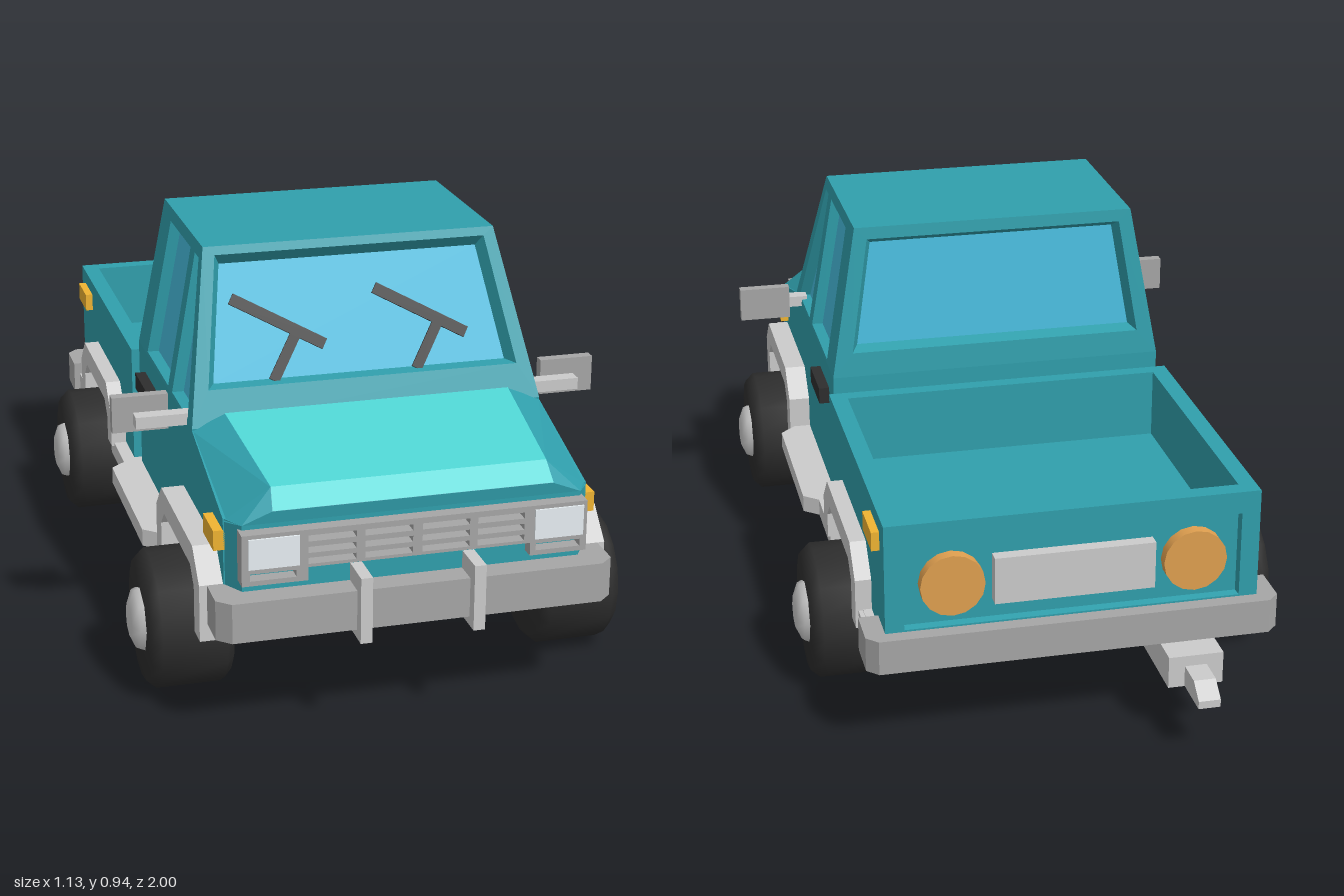
import * as THREE from 'three';
import { toCreasedNormals } from 'three/addons/utils/BufferGeometryUtils.js';
import { ConvexGeometry } from 'three/addons/geometries/ConvexGeometry.js';

const mat = (color) => new THREE.MeshStandardMaterial({ color });
const paint = mat(0x309fac), hoodPaint = mat(0x50d6d4), grey = mat(0xcccccc), darkGrey = mat(0xa6a6a6);
const glass = mat(0x48bcde), lens = mat(0xe8f0f4), black = mat(0x2e2e2e), amber = mat(0xf0b432), orange = mat(0xe0a050);
const V = (x, y, z) => new THREE.Vector3(x, y, z);

export function createModel() {
  const truck = new THREE.Group();
  truck.name = 'pickupTruck';

  const add = (name, geo, material, parent = truck) => {
    const mesh = new THREE.Mesh(geo, material);
    mesh.name = name;
    parent.add(mesh);
    return mesh;
  };
  // Box given by its lower and upper limits on each axis
  const box = (name, m, x0, x1, y0, y1, z0, z1) =>
    add(name, new THREE.BoxGeometry(x1 - x0, y1 - y0, z1 - z0)
      .translate((x0 + x1) / 2, (y0 + y1) / 2, (z0 + z1) / 2), m);
  const shapeOf = (pts) => new THREE.Shape(pts.map(([a, b]) => new THREE.Vector2(a, b)));
  const extrude = (shape, depth) => new THREE.ExtrudeGeometry(shape, { depth, bevelEnabled: false });
  // Side profile in (z, y), running from x0 to x1
  const sideSlab = (name, m, pts, x0, x1) =>
    add(name, extrude(shapeOf(pts), x1 - x0).rotateY(-Math.PI / 2).translate(x1, 0, 0), m);
  // Plan outline in (x, z), running from y0 to y1
  const planSlab = (name, m, pts, y0, y1) =>
    add(name, extrude(shapeOf(pts), y1 - y0).rotateX(Math.PI / 2).translate(0, y1, 0), m);
  const mirrored = (half) => [...half, ...half.map(([x, z]) => [-x, z]).reverse()];
  const hull = (name, m, half) =>
    add(name, new ConvexGeometry(half.flatMap(([x, y, z]) => [V(x, y, z), V(-x, y, z)])), m);
  const quads = (list) => {
    const pts = list.flatMap(([a, b, c, d]) => [a, b, c, a, c, d]);
    const geo = new THREE.BufferGeometry().setFromPoints(pts);
    geo.computeVertexNormals();
    return geo;
  };
  // Four-cornered frame with bevelled reveal around a recessed pane;
  // hole corners are fractions of the frame
  const panel = (name, corners, hole, depth, bevel, paneMat, flip = false) => {
    let outer = corners;
    let inner = hole.map(([u, v]) => outer[0].clone().lerp(outer[1], u)
      .lerp(outer[3].clone().lerp(outer[2], u), v));
    if (flip) {
      const mirror = (p) => V(-p.x, p.y, p.z);
      outer = outer.map(mirror).reverse();
      inner = inner.map(mirror).reverse();
    }
    const n = outer[1].clone().sub(outer[0]).cross(outer[3].clone().sub(outer[0])).normalize();
    const pane = inner.map((p, i) => {
      const toNext = inner[(i + 1) % 4].clone().sub(p).normalize();
      const toLast = inner[(i + 3) % 4].clone().sub(p).normalize();
      return p.clone().addScaledVector(toNext.add(toLast), bevel).addScaledVector(n, -depth);
    });
    const faces = [];
    for (let i = 0; i < 4; i++) {
      const j = (i + 1) % 4;
      faces.push([outer[i], outer[j], inner[j], inner[i]], [inner[i], inner[j], pane[j], pane[i]]);
    }
    add(name + 'Frame', quads(faces), paint);
    add(name + 'Pane', quads([pane]), paneMat);
  };

  // Lower cab with front wheel openings, then the chamfered nose
  sideSlab('cabBody', paint, [[-0.055, 0.255], [0.45, 0.255], [0.45, 0.315], [0.487, 0.352], [0.778, 0.352],
    [0.815, 0.315], [0.815, 0.26], [0.87, 0.26], [0.87, 0.485], [0.57, 0.57], [0.57, 0.575], [-0.055, 0.575]], -0.405, 0.405);
  hull('nose', paint, [[0.405, 0.26, 0.865], [0.405, 0.485, 0.865], [0.375, 0.26, 0.915], [0.375, 0.485, 0.915]]);

  // Bonnet with a lighter raised panel
  hull('bonnet', paint, [[0.405, 0.48, 0.87], [0.405, 0.57, 0.565], [0.375, 0.485, 0.915], [0.31, 0.512, 0.918],
    [0.305, 0.552, 0.882], [0.33, 0.602, 0.565], [0.33, 0.5, 0.565]]);
  const bonnetEdge = [[0.31, 0.514, 0.921], [0.305, 0.554, 0.885], [0.33, 0.604, 0.565]];
  const strip = bonnetEdge.map(([x, y, z]) => [V(-x, y, z), V(x, y, z)]);
  add('bonnetPanel', quads([0, 1].map((i) => [...strip[i], strip[i + 1][1], strip[i + 1][0]])), hoodPaint);

  // Upper cab: windscreen, rear window, two windows per side, roof
  const belt = 0.575, top = 0.94, bx = 0.405, tx = 0.34;
  panel('windscreen', [V(-bx, belt, 0.57), V(bx, belt, 0.57), V(tx, top, 0.405), V(-tx, top, 0.405)],
    [[0.041, 0.205], [0.959, 0.205], [0.959, 0.95], [0.041, 0.95]], 0.03, 0.016, glass);
  panel('rearWindow', [V(bx, belt, -0.055), V(-bx, belt, -0.055), V(-tx, top, -0.02), V(tx, top, -0.02)],
    [[0.05, 0.16], [0.95, 0.16], [0.95, 0.92], [0.05, 0.92]], 0.03, 0.014, glass);
  for (const flip of [false, true]) {
    panel('quarterWindow', [V(bx, belt, 0.57), V(bx, belt, 0.322), V(tx, top, 0.322), V(tx, top, 0.405)],
      [[0.2, 0.02], [0.907, 0.02], [0.76, 0.92], [0.34, 0.92]], 0.025, 0.007, glass, flip);
    panel('doorWindow', [V(bx, belt, 0.322), V(bx, belt, -0.055), V(tx, top, -0.02), V(tx, top, 0.322)],
      [[0.06, 0.02], [0.72, 0.02], [0.716, 0.92], [0.064, 0.92]], 0.025, 0.007, glass, flip);
  }
  add('roof', quads([[V(-tx, top, 0.405), V(tx, top, 0.405), V(tx, top, -0.02), V(-tx, top, -0.02)]]), paint);

  // Wipers lie in the plane of the windscreen
  const wipers = new THREE.Group();
  wipers.name = 'wipers';
  wipers.position.set(0, belt, 0.57);
  wipers.rotation.x = -Math.atan2(0.165, 0.365);
  truck.add(wipers);
  const rod = (name, x0, s0, x1, s1, w) => {
    const m = add(name, new THREE.BoxGeometry(Math.hypot(x1 - x0, s1 - s0), w, 0.005), black, wipers);
    m.position.set((x0 + x1) / 2, (s0 + s1) / 2, -0.02);
    m.rotation.z = Math.atan2(s1 - s0, x1 - x0);
  };
  for (const dx of [0, 0.333]) {
    rod('wiperBlade', -0.285 + dx, 0.283, -0.08 + dx, 0.165, 0.026);
    rod('wiperArm', -0.205 + dx, 0.092, -0.145 + dx, 0.192, 0.024);
  }

  // Load bed: solid base with wheel tunnel, walls and tailgate
  sideSlab('bedBase', paint, [[-0.82, 0.26], [-0.6, 0.26], [-0.6, 0.315], [-0.563, 0.352], [-0.282, 0.352],
    [-0.245, 0.315], [-0.245, 0.26], [-0.08, 0.26], [-0.08, 0.38], [-0.8, 0.38], [-0.8, 0.29], [-0.82, 0.29]], -0.42, 0.42);
  for (const x of [0.4, -0.4]) box('bedSide', paint, x - 0.02, x + 0.02, 0.38, 0.545, -0.8, -0.08);
  box('bedFrontWall', paint, -0.38, 0.38, 0.38, 0.545, -0.115, -0.08);
  box('tailgateInner', paint, -0.38, 0.38, 0.38, 0.545, -0.8, -0.78);
  panel('tailgate', [V(0.42, 0.26, -0.821), V(-0.42, 0.26, -0.821), V(-0.42, 0.545, -0.821), V(0.42, 0.545, -0.821)],
    [[0.05, 0.12], [0.95, 0.12], [0.95, 0.82], [0.05, 0.82]], 0.018, 0.003, paint);
  box('tailgateRim', paint, -0.42, 0.42, 0.5, 0.545, -0.82, -0.8);
  for (const x of [0.404, -0.404]) box('tailgatePost', paint, x - 0.016, x + 0.016, 0.26, 0.5, -0.82, -0.8);
  box('rearPlate', grey, -0.18, 0.18, 0.34, 0.45, -0.832, -0.8);

  // Chassis floors and bumpers
  planSlab('cabFloor', grey, mirrored([[0.44, 0.405], [0.485, 0.365], [0.485, -0.03], [0.45, -0.06], [0.45, -0.215]]), 0.243, 0.258);
  box('cabFloorRearRim', grey, -0.45, 0.45, 0.217, 0.258, -0.24, -0.215);
  planSlab('rearFloor', grey, mirrored([[0.44, -0.6], [0.44, -0.8]]), 0.217, 0.262);
  planSlab('rearBumper', darkGrey, mirrored([[0.42, -0.735], [0.465, -0.735], [0.465, -0.83], [0.44, -0.855]]), 0.21, 0.29);
  planSlab('frontBumper', darkGrey, mirrored([[0.44, 0.86], [0.44, 0.945], [0.41, 0.972]]), 0.245, 0.335);
  for (const x of [-0.127, 0.123]) box('bumperGuard', grey, x - 0.013, x + 0.013, 0.225, 0.375, 0.895, 1);

  // Grille with slots, and headlights
  const grille = shapeOf([[-0.383, 0.36], [-0.24, 0.36], [-0.24, 0.39], [0.252, 0.39], [0.252, 0.36],
    [0.38, 0.36], [0.38, 0.475], [-0.383, 0.475]]);
  const slot = (x0, x1, y0, y1) => grille.holes.push(new THREE.Path(
    [[x0, y0], [x0, y1], [x1, y1], [x1, y0]].map(([a, b]) => new THREE.Vector2(a, b))));
  for (const x of [-0.24, -0.116, 0.01, 0.133])
    for (const y of [0.397, 0.422, 0.448]) slot(x, x + 0.105, y, y + 0.014);
  for (const x of [-0.365, 0.265]) {
    slot(x, x + 0.1, 0.371, 0.387);
    box('headlight', lens, x - 0.004, x + 0.106, 0.398, 0.466, 0.93, 0.95);
  }
  add('grille', extrude(grille, 0.04).translate(0, 0, 0.906), darkGrey);

  // Wheel arches, one outline for front and rear; the front one lines the whole wheel well
  const arch = (z0, z1, lowFront, lowBack) => [[z0, lowFront], [z0, 0.335], [z0 - 0.065, 0.4], [z1 + 0.065, 0.4],
    [z1, 0.335], [z1, lowBack], [z1 + 0.055, lowBack], [z1 + 0.055, 0.31], [z1 + 0.092, 0.347],
    [z0 - 0.092, 0.347], [z0 - 0.055, 0.31], [z0 - 0.055, lowFront]];
  sideSlab('frontArch', grey, arch(0.865, 0.4, 0.205, 0.215), -0.457, 0.457);

  const tyre = toCreasedNormals(new THREE.LatheGeometry([[0, 0.357], [0.138, 0.357], [0.157, 0.375], [0.157, 0.52],
    [0.138, 0.541], [0, 0.541]].map(([r, h]) => new THREE.Vector2(r, h)), 16).rotateZ(-Math.PI / 2), 0.9);
  const hub = toCreasedNormals(new THREE.LatheGeometry([[0.078, 0.535], [0.07, 0.553], [0.038, 0.567],
    [0, 0.567]].map(([r, h]) => new THREE.Vector2(r, h)), 8).rotateZ(-Math.PI / 2), 0.9);

  for (const s of [1, -1]) {
    const side = s > 0 ? 'Left' : 'Right';
    const sBox = (name, m, x0, x1, ...rest) =>
      box(name + side, m, Math.min(s * x0, s * x1), Math.max(s * x0, s * x1), ...rest);
    sideSlab('rearArch' + side, grey, arch(-0.195, -0.65, 0.25, 0.217), s > 0 ? 0.4 : -0.457, s > 0 ? 0.457 : -0.4);
    sBox('rearSill', grey, 0.4, 0.45, 0.217, 0.26, -0.74, -0.62);

    // Sill hanging below the floor edge, bowed outwards along the cab
    planSlab('sill' + side, grey, [[0.44, 0.405], [0.485, 0.365], [0.485, -0.03], [0.45, -0.06], [0.45, -0.24],
      [0.425, -0.24], [0.425, -0.05], [0.46, -0.02], [0.46, 0.355], [0.415, 0.395]].map(([x, z]) => [s * x, z]), 0.217, 0.258);

    // Wheels
    for (const [end, z] of [['front', 0.624], ['rear', -0.435]]) {
      const wheel = new THREE.Group();
      wheel.name = end + 'Wheel' + side;
      wheel.position.set(0, 0.158, z);
      wheel.rotation.y = s > 0 ? 0 : Math.PI;
      add('tyre', tyre, black, wheel);
      add('hub', hub, grey, wheel);
      truck.add(wheel);
    }

    // Door handles, indicators and tail lights
    sBox('doorHandle', black, 0.4, 0.43, 0.48, 0.52, 0.02, 0.165);
    sBox('frontIndicator', amber, 0.4, 0.426, 0.415, 0.46, 0.77, 0.87);
    sBox('rearIndicator', amber, 0.415, 0.438, 0.466, 0.51, -0.77, -0.66);
    add('tailLight' + side, new THREE.CylinderGeometry(0.072, 0.072, 0.03, 16)
      .rotateX(Math.PI / 2).translate(s * 0.272, 0.394, -0.815), orange);

    // Wing mirrors
    sBox('mirror', darkGrey, 0.44, 0.567, 0.547, 0.63, 0.455, 0.48);
    sBox('mirrorArm', grey, 0.39, 0.52, 0.565, 0.592, 0.48, 0.515);
  }

  // Offset tow hitch with a tapered tongue
  box('hitchBar', grey, -0.323, -0.198, 0.12, 0.195, -0.895, -0.615);
  sideSlab('hitchTongue', grey, [[-1, 0.122], [-0.89, 0.122], [-0.89, 0.17], [-0.96, 0.17], [-1, 0.14]], -0.285, -0.235);

  return truck;
}
